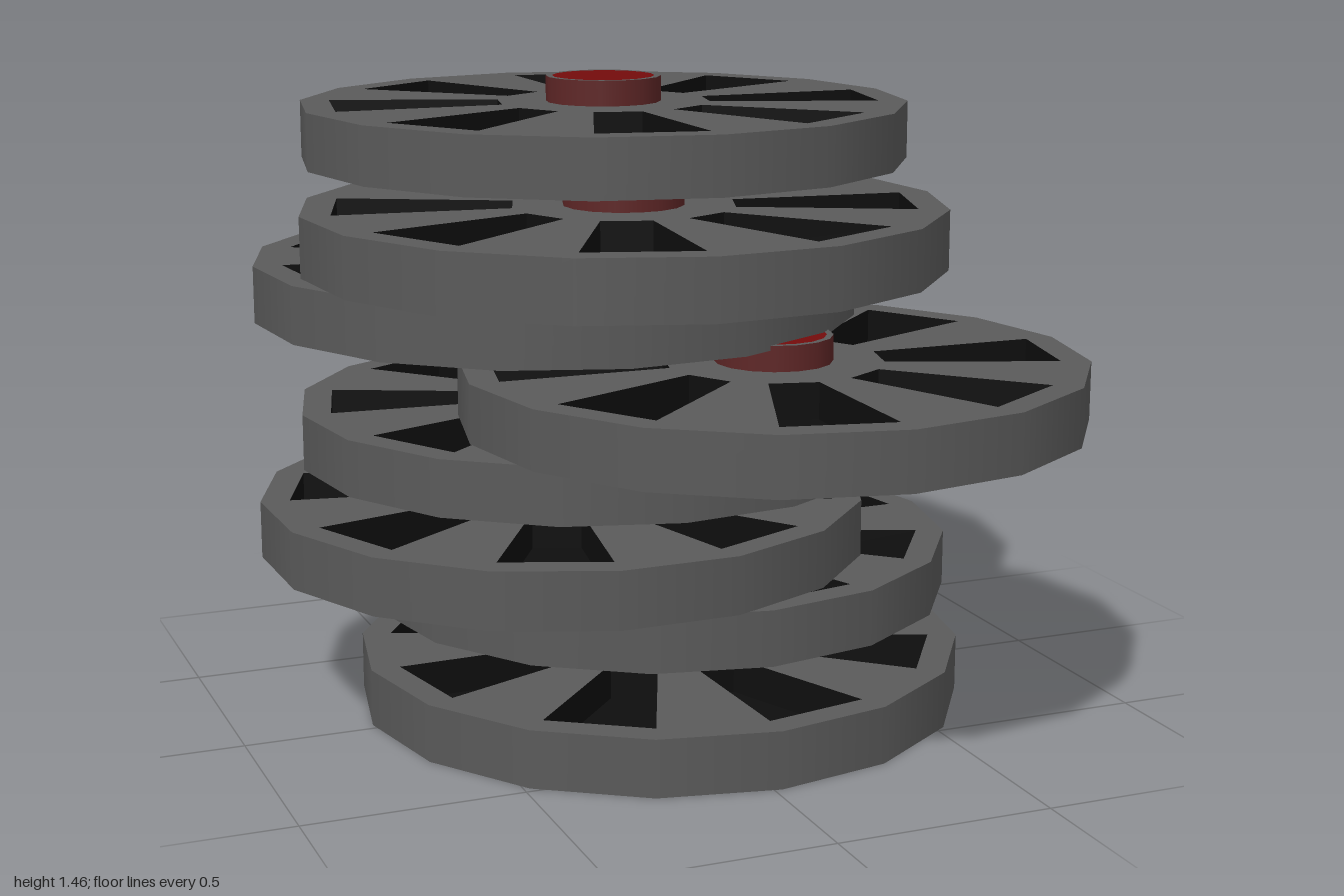
import * as THREE from 'three';

const material = (name, color, side = THREE.DoubleSide) => {
  const m = new THREE.MeshStandardMaterial({ color, side });
  m.name = name;
  return m;
};

const SIDES = 16, RADIUS = 0.713, HEIGHT = 0.133, PITCH = 0.181;
const HUB_R = 0.135, HUB_BOTTOM = 0.1, HUB_TOP = 0.192;
const POCKET_FLOOR = 0.05;
const rad = THREE.MathUtils.degToRad;

// Corners of one wedge pocket, as [radius, angle] turned by a start angle
const wedge = (start) => [[0.25, 0], [0.645, 0], [0.645, 22.5], [0.25, 26]]
  .map(([r, a]) => new THREE.Vector2(r * Math.cos(rad(a + start)), r * Math.sin(rad(a + start))));

// Top plate: sixteen-sided, with eight wedge openings and a hub hole
function plateGeometry() {
  const ring = (r) => Array.from({ length: SIDES }, (_, i) => {
    const a = (i / SIDES) * Math.PI * 2;
    return new THREE.Vector2(r * Math.cos(a), r * Math.sin(a));
  });
  const shape = new THREE.Shape(ring(RADIUS));
  shape.holes.push(new THREE.Path(ring(HUB_R)));
  for (let k = 0; k < 8; k++) {
    shape.holes.push(new THREE.Path(wedge(k * 45).map((p) => new THREE.Vector2(p.x, -p.y))));
  }
  return new THREE.ShapeGeometry(shape).rotateX(-Math.PI / 2).translate(0, HEIGHT, 0);
}

// Open-topped pockets: a floor and four walls each
function pocketGeometry() {
  const pos = [];
  const quad = (a, b, c, d) => [a, b, c, a, c, d].forEach((p) => pos.push(...p));
  for (let k = 0; k < 8; k++) {
    const c = wedge(k * 45);
    const low = c.map((p) => [p.x, POCKET_FLOOR, p.y]);
    const high = c.map((p) => [p.x, HEIGHT, p.y]);
    quad(low[3], low[2], low[1], low[0]);
    for (let i = 0; i < 4; i++) {
      const j = (i + 1) % 4;
      quad(low[i], low[j], high[j], high[i]);
    }
  }
  const g = new THREE.BufferGeometry();
  g.setAttribute('position', new THREE.Float32BufferAttribute(pos, 3));
  g.computeVertexNormals();
  return g;
}

export function createModel() {
  const grey = material('grey', 0x5a5a5a);
  const black = material('black', 0x0e0e0e);
  const hubRed = material('dull red', 0x5e2626);
  const capRed = material('deep red', 0x740b0b);

  const tubeHeight = HUB_TOP - HUB_BOTTOM;
  const parts = [
    ['rim', new THREE.CylinderGeometry(RADIUS, RADIUS, HEIGHT, SIDES, 1, true).translate(0, HEIGHT / 2, 0), grey],
    ['plate', plateGeometry(), grey],
    ['pockets', pocketGeometry(), black],
    ['hub', new THREE.CylinderGeometry(HUB_R, HUB_R, tubeHeight, SIDES, 1, true)
      .translate(0, HUB_BOTTOM + tubeHeight / 2, 0), hubRed],
    ['hubLip', new THREE.RingGeometry(0.12, HUB_R, SIDES).rotateX(-Math.PI / 2).translate(0, HUB_TOP, 0), grey],
    ['hubCap', new THREE.CircleGeometry(0.12, SIDES).rotateX(-Math.PI / 2).translate(0, HUB_TOP, 0), capRed],
  ];

  // Each wheel in the pile, bottom to top: x, z and turn in degrees
  const wheels = [
    [0.018, -0.021, 22.5],
    [0.12, -0.285, 23],
    [-0.185, -0.13, 10],
    [-0.053, -0.273, 4],
    [0.17, 0.289, 1],
    [-0.162, -0.24, 29],
    [-0.162, 0.216, 6.5],
    [-0.052, -0.196, 0],
  ];

  const model = new THREE.Group();
  model.name = 'wheelPile';
  wheels.forEach(([x, z, turn], i) => {
    const wheel = new THREE.Group();
    wheel.name = `wheel${i + 1}`;
    for (const [name, geometry, mat] of parts) {
      const mesh = new THREE.Mesh(geometry, mat);
      mesh.name = name;
      wheel.add(mesh);
    }
    wheel.position.set(x, i * PITCH, z);
    wheel.rotation.y = -rad(turn);
    model.add(wheel);
  });
  return model;
}
